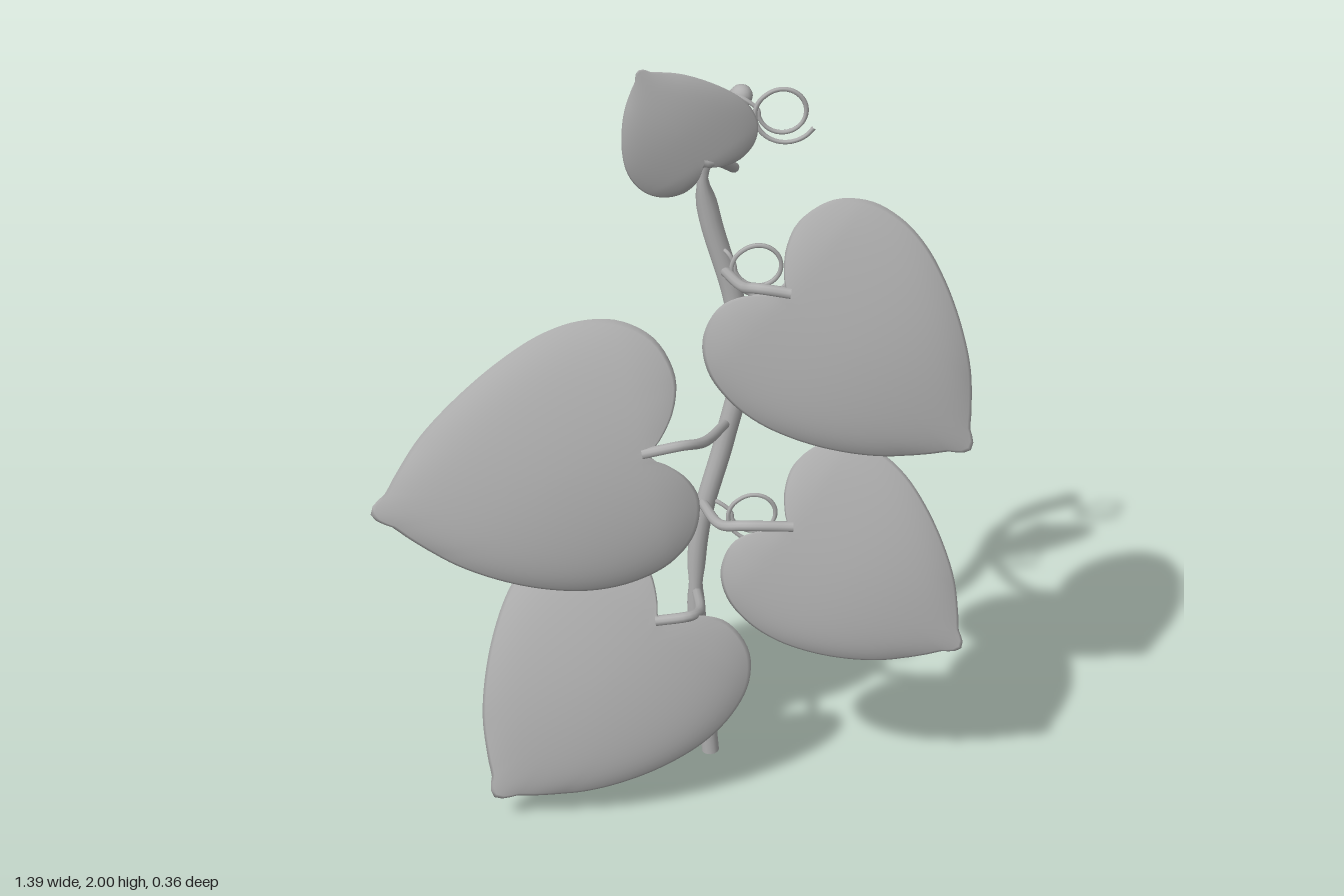
import * as THREE from 'three';

const V = (x, y, z) => new THREE.Vector3(x, y, z);
const grey = new THREE.MeshStandardMaterial({ color: 0xb0b0b0 });
grey.name = 'plant grey';

// half of the heart outline: u runs from notch (0) to tip (1), v is sideways
const HALF = [
  [-0.055, 0.055], [-0.11, 0.13], [-0.135, 0.23], [-0.09, 0.365], [0.02, 0.455], [0.16, 0.488],
  [0.3, 0.478], [0.45, 0.43], [0.62, 0.345], [0.78, 0.235], [0.9, 0.115], [0.95, 0.058], [0.99, 0.035],
];
const OUTLINE = new THREE.CatmullRomCurve3([
  V(0, 0, 0),
  ...HALF.map(([u, v]) => V(u, v, 0)),
  V(1.01, 0, 0),
  ...HALF.slice().reverse().map(([u, v]) => V(u, -v, 0)),
], true, 'centripetal').getSpacedPoints(112);

function mesh(name, geometry) {
  const m = new THREE.Mesh(geometry, grey);
  m.name = name;
  return m;
}

// thin domed heart blade; a and b are its slopes of depth along x and y
function leafGeometry({ notch, tip, z, a, b, wide = 1 }) {
  const ax = tip[0] - notch[0], ay = tip[1] - notch[1];
  const len = Math.hypot(ax, ay), n = OUTLINE.length - 1, rings = 14, rows = 2 * rings;
  const pos = [], index = [];
  // rows run from the front centre out to the rim and back to the rear centre
  for (let i = 0; i <= rows; i++) {
    const r = 1 - Math.pow(Math.abs(1 - i / rings), 1.4);
    const thick = i > rings ? 0.03 * Math.sqrt(1 - r ** 4) : 0;
    for (let j = 0; j < n; j++) {
      const u = 0.35 + r * (OUTLINE[j].x - 0.35), v = r * OUTLINE[j].y * wide;
      const dx = ax * u - ay * v, dy = ay * u + ax * v;
      const arch = 0.045 * Math.sin(Math.PI * Math.min(1, Math.max(0, u))) + 0.2 * Math.min(0, u);
      const droop = 0.08 * (v / (0.488 * wide)) ** 2 + 0.025 * r ** 8 * Math.min(1, Math.abs(v) * 5);
      pos.push(notch[0] + dx, notch[1] + dy, z + a * dx + b * dy + len * (arch - droop - thick));
      if (i < rows) {
        const p = i * n + j, q = i * n + (j + 1) % n;
        if (i > 0) index.push(p, q, q + n);
        if (i < rows - 1) index.push(p, q + n, p + n);
      }
    }
  }
  // the first and last rows each collapse to one centre vertex
  const merge = (k) => (k < n ? 0 : k >= rows * n ? rows * n : k);
  const g = new THREE.BufferGeometry();
  g.setAttribute('position', new THREE.Float32BufferAttribute(pos, 3));
  g.setIndex(index.map(merge));
  g.computeVertexNormals();
  return g;
}

const tube = (points, r, steps = 24, sides = 10) =>
  new THREE.TubeGeometry(new THREE.CatmullRomCurve3(points, false, 'centripetal'), steps, r, sides);

// stem: a tube pinched at its joints
function stem() {
  const curve = new THREE.CatmullRomCurve3([
    V(0.102, 0.004, -0.118), V(0.085, 0.2, -0.12), V(0.062, 0.5, -0.125), V(0.075, 0.7, -0.13),
    V(0.13, 0.93, -0.138), V(0.17, 1.15, -0.142), V(0.145, 1.32, -0.147), V(0.09, 1.52, -0.15),
    V(0.073, 1.64, -0.15), V(0.1, 1.745, -0.15), V(0.158, 1.825, -0.147),
  ]);
  const steps = 90, sides = 14;
  const g = new THREE.TubeGeometry(curve, steps, 0.024, sides);
  const p = g.attributes.position, v = V(0, 0, 0);
  for (let i = 0; i <= steps; i++) {
    const c = curve.getPointAt(i / steps);
    const pinch = (y, d) => d * Math.exp(-(((c.y - y) / 0.04) ** 2));
    const k = 0.92 + 0.1 * c.y - pinch(1.62, 0.55) - pinch(0.52, 0.25);
    for (let j = 0; j <= sides; j++) {
      const id = i * (sides + 1) + j;
      v.fromBufferAttribute(p, id).sub(c).multiplyScalar(k).add(c);
      p.setXYZ(id, v.x, v.y, v.z);
    }
  }
  const group = new THREE.Group();
  group.name = 'stem';
  const tip = mesh('stemTip', new THREE.SphereGeometry(0.026, 14, 10));
  tip.position.copy(curve.getPoint(1));
  const base = mesh('stemBase', new THREE.CircleGeometry(0.022, 14).rotateX(Math.PI / 2));
  base.position.copy(curve.getPoint(0));
  group.add(mesh('stemTube', g), tip, base);
  return group;
}

// tendril: a thin strand that curls once and opens into a tail
function tendril(x, y, fromX) {
  const pts = [V(fromX, y + 0.03, -0.135), V((fromX + x - 0.055) / 2, y + 0.025, -0.12)];
  for (let i = 0; i <= 28; i++) {
    const t = i / 28, ang = Math.PI + t * Math.PI * 2.85;
    const r = 0.054 + 0.026 * Math.max(0, (t - 0.6) / 0.4);
    pts.push(V(x + r * Math.cos(ang), y + r * Math.sin(ang), -0.115 + 0.018 * t));
  }
  return mesh('tendril', tube(pts, 0.0055, 110, 6));
}

export function createModel() {
  const model = new THREE.Group();
  model.name = 'climbingPlant';
  model.add(stem());

  // each leaf with the stalk that carries it
  const leaves = [
    { name: 'upperLeftLeaf', notch: [0.25, 1.46], tip: [0.68, 1.07], z: 0.115, a: -0.07, b: -0.14,
      stalk: [V(0.125, 1.385, -0.14), V(0.165, 1.45, 0.06), V(0.19, 1.47, 0.1), V(0.265, 1.462, 0.11)] },
    { name: 'lowerLeftLeaf', notch: [0.27, 0.82], tip: [0.69, 0.5], z: 0.093, a: -0.07, b: -0.2,
      stalk: [V(0.075, 0.755, -0.13), V(0.12, 0.805, 0.05), V(0.17, 0.83, 0.09), V(0.285, 0.825, 0.088)] },
    { name: 'upperRightLeaf', notch: [-0.05, 1.035], tip: [-0.69, 0.915], z: 0.11, a: -0.03, b: -0.24,
      stalk: [V(0.135, 0.975, -0.14), V(0.07, 1.035, 0.05), V(0.02, 1.055, 0.095), V(-0.07, 1.04, 0.105)] },
    { name: 'lowerRightLeaf', notch: [-0.03, 0.565], tip: [-0.435, 0.085], z: 0.1, a: 0.05, b: -0.17, wide: 1.03,
      stalk: [V(0.065, 0.495, -0.125), V(0.065, 0.555, 0.05), V(0.04, 0.57, 0.09), V(-0.04, 0.562, 0.096)] },
    { name: 'topLeaf', notch: [0.07, 1.757], tip: [-0.07, 1.995], z: 0.075, a: -0.15, b: 0, wide: 1.12,
      stalk: [V(0.143, 1.658, -0.125), V(0.1, 1.75, 0.03), V(0.085, 1.762, 0.06), V(0.065, 1.768, 0.07)] },
  ];
  for (const leaf of leaves) {
    const group = new THREE.Group();
    group.name = leaf.name;
    group.add(mesh('blade', leafGeometry(leaf)), mesh('leafStalk', tube(leaf.stalk, 0.0125)));
    model.add(group);
  }

  model.add(tendril(0.248, 1.805, 0.13), tendril(0.2, 1.415, 0.12), tendril(0.2, 0.735, 0.085));
  return model;
}
